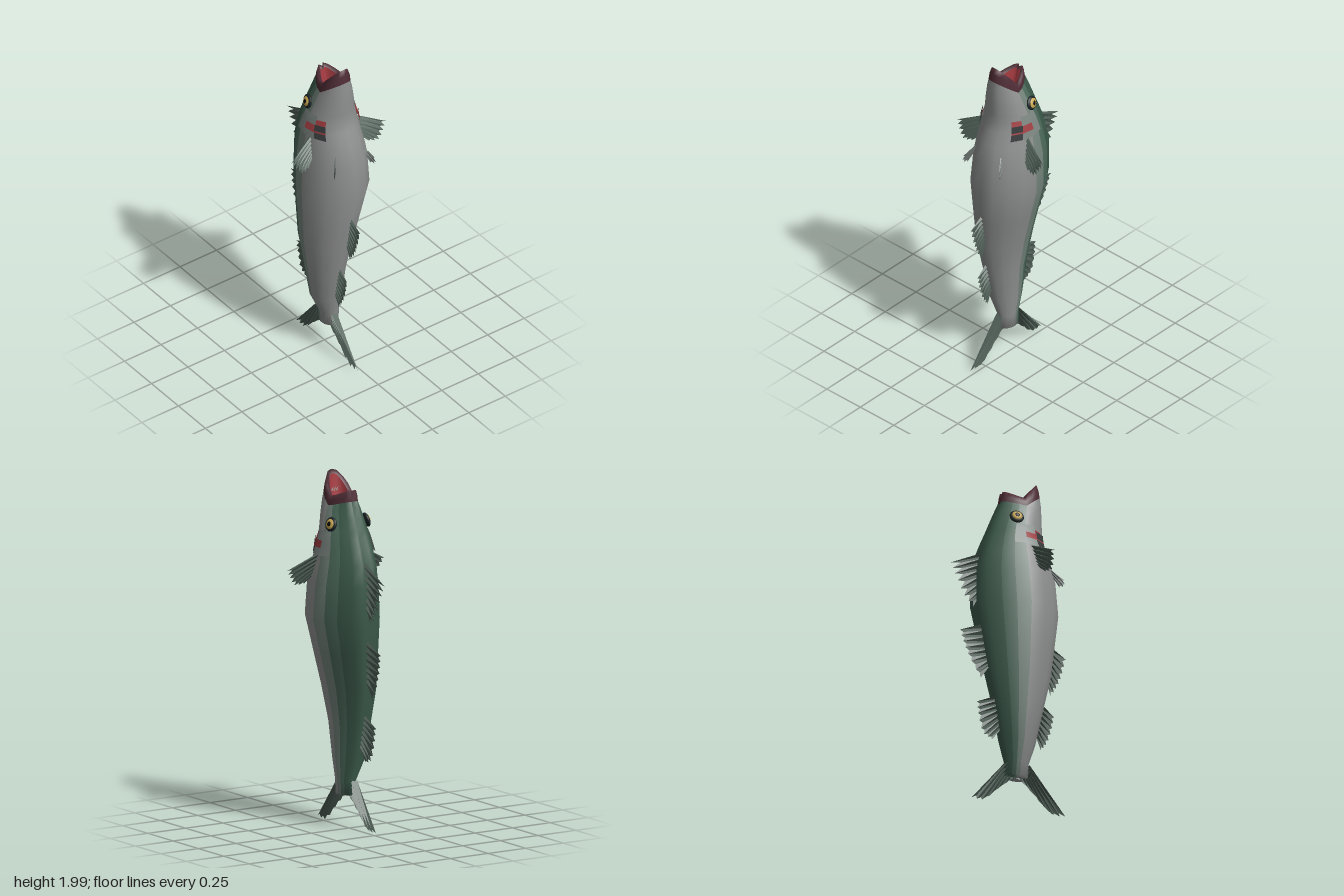
import * as THREE from 'three';

const mat = (color, extra = {}) => new THREE.MeshStandardMaterial({ color, ...extra });
const V = (x, y, z) => new THREE.Vector3(x, y, z);

// Half outline of a cross-section, spine to belly: [share of half width, share of depth]
const HALF = [[0, 0.07], [0.2, 0], [0.46, 0.08], [0.71, 0.22], [0.9, 0.36], [1, 0.52],
  [0.93, 0.7], [0.72, 0.85], [0.38, 0.97], [0, 1]];
const OUTLINE = [...HALF, ...HALF.slice(1, -1).reverse().map(([u, v]) => [-u, v])];
const N = OUTLINE.length;

// Rings, tail to snout: [y, belly z, back z, half width, centre x, tilt of the gape]
const BODY = [
  [0.2, 0.05, 0.04, 0.002, -0.015, 0], [0.2, 0.12, -0.025, 0.05, -0.012, 0],
  [0.28, 0.12, -0.02, 0.056, -0.014, 0], [0.4, 0.15, -0.06, 0.09, -0.032, 0],
  [0.6, 0.19, -0.1, 0.11, -0.04, 0], [0.8, 0.235, -0.145, 0.142, -0.037, 0],
  [1.0, 0.265, -0.175, 0.172, -0.018, 0], [1.2, 0.295, -0.205, 0.2, 0.002, 0],
  [1.4, 0.28, -0.205, 0.187, 0.004, 0], [1.52, 0.25, -0.18, 0.166, 0, 0],
  [1.6, 0.215, -0.15, 0.152, 0, 0], [1.66, 0.2, -0.125, 0.142, 0, 0],
  [1.7, 0.2, -0.108, 0.13, 0, 0.1], [1.75, 0.2, -0.085, 0.117, 0, 0.3],
  [1.8, 0.198, -0.06, 0.1, 0, 0.55], [1.825, 0.193, -0.046, 0.088, 0, 0.75],
];
const LIPS = [BODY.at(-1), [1.85, 0.186, -0.042, 0.085, 0, 0.9], [1.875, 0.175, -0.035, 0.074, 0, 1],
  [1.86, 0.162, -0.018, 0.056, 0, 0.95]];
const MOUTH = [LIPS.at(-1), [1.8, 0.15, -0.005, 0.055, 0, 0.6], [1.7, 0.12, 0.01, 0.045, 0, 0.1],
  [1.62, 0.075, 0.04, 0.015, -0.01, 0], [1.62, 0.058, 0.057, 0.001, -0.01, 0]];

function ringPoint([y, belly, back, w, cx, tilt], [u, v]) {
  const gape = v < 0.5 ? 0.045 * (1 - v / 0.5) : 0.13 * (v - 0.5) / 0.5;
  return V(cx + u * w, y + tilt * gape, back + (belly - back) * v);
}

// Smooth loft, cut lengthwise into coloured bands that share one set of normals
function loft(rings, bands) {
  const pos = [];
  rings.forEach(r => OUTLINE.forEach(o => pos.push(...ringPoint(r, o).toArray())));
  const indexFor = test => {
    const index = [];
    for (let i = 0; i < rings.length - 1; i++) for (let j = 0; j < N; j++) {
      if (!test(Math.min(j, N - 1 - j))) continue;
      const a = i * N + j, b = i * N + (j + 1) % N;
      index.push(a, a + N, b, b, a + N, b + N);
    }
    return index;
  };
  const whole = new THREE.BufferGeometry();
  whole.setAttribute('position', new THREE.Float32BufferAttribute(pos, 3));
  whole.setIndex(indexFor(() => true));
  whole.computeVertexNormals();
  return bands.map(([name, color, from, to]) => {
    const g = whole.clone();
    g.setIndex(indexFor(s => s >= from && s < to));
    const m = new THREE.Mesh(g, mat(color));
    m.name = name;
    return m;
  });
}

// Pleated fin: rays run from a root line to a jagged outer edge
function fin(name, root, edge, rays, normal, pleat, color, notch = 0.14) {
  const rootCurve = new THREE.CatmullRomCurve3(root), edgeCurve = new THREE.CatmullRomCurve3(edge);
  const pos = [], index = [];
  for (let k = 0; k <= rays * 2; k++) {
    const s = k / (rays * 2), odd = k % 2;
    const a = rootCurve.getPoint(s), b = edgeCurve.getPoint(s);
    if (odd) b.lerp(a, notch);
    a.addScaledVector(normal, odd ? pleat : -pleat);
    b.addScaledVector(normal, (odd ? pleat : -pleat) * 0.25);
    pos.push(...a.toArray(), ...b.toArray());
    if (k) index.push(2 * k - 2, 2 * k - 1, 2 * k, 2 * k, 2 * k - 1, 2 * k + 1);
  }
  const g = new THREE.BufferGeometry();
  g.setAttribute('position', new THREE.Float32BufferAttribute(pos, 3));
  g.setIndex(index);
  g.computeVertexNormals();
  const m = new THREE.Mesh(g, mat(color, { side: THREE.DoubleSide, flatShading: true }));
  m.name = name;
  return m;
}

// Patch that follows the head surface, lifted away from it
function headPatch(name, side, y0, y1, from, to, lift0, lift1, color) {
  const pos = [], index = [], rows = 4, cols = to - from;
  for (let i = 0; i <= rows; i++) for (let j = from; j <= to; j++) {
    const y = y0 + (y1 - y0) * i / rows;
    let k = BODY.findIndex(r => r[0] > y);
    const t = (y - BODY[k - 1][0]) / (BODY[k][0] - BODY[k - 1][0]);
    const ring = BODY[k].map((b, n) => BODY[k - 1][n] + (b - BODY[k - 1][n]) * t);
    const p = ringPoint(ring, HALF[j]);
    const lift = lift0 + (lift1 - lift0) * i / rows;
    p.add(V(p.x, 0, p.z - 0.05).normalize().multiplyScalar(lift));
    pos.push(p.x * side, p.y, p.z);
    if (i < rows && j < to) {
      const a = i * (cols + 1) + j - from, up = a + cols + 1;
      index.push(...(side > 0 ? [a, up, a + 1, a + 1, up, up + 1] : [a, a + 1, up, a + 1, up + 1, up]));
    }
  }
  const g = new THREE.BufferGeometry();
  g.setAttribute('position', new THREE.Float32BufferAttribute(pos, 3));
  g.setIndex(index);
  g.computeVertexNormals();
  const m = new THREE.Mesh(g, mat(color, { side: THREE.DoubleSide }));
  m.name = name;
  return m;
}

function eye(side) {
  const g = new THREE.Group();
  g.name = side > 0 ? 'leftEye' : 'rightEye';
  [['eyeSocket', 0.041, 0.016, 0, 0x1c2426], ['iris', 0.031, 0.014, 0.006, 0xc9a850],
    ['pupil', 0.016, 0.008, 0.014, 0x0c0c0c]].forEach(([name, r, depth, out, color]) => {
    const m = new THREE.Mesh(new THREE.SphereGeometry(r, 16, 10), mat(color));
    m.scale.z = depth / r;
    m.position.z = out;
    m.name = name;
    g.add(m);
  });
  g.position.set(side * 0.117, 1.735, 0.003);
  g.lookAt(side * 1.117, 2.03, -0.2);
  return g;
}

export function createModel() {
  const model = new THREE.Group();
  const FIN = 0x4f5f57, X = V(1, 0, 0);

  // Body, lips and mouth
  model.add(...loft(BODY, [['back', 0x3c5a4b, 0, 3], ['upperFlank', 0x4d6b5c, 3, 4],
    ['flank', 0x74857c, 4, 5], ['belly', 0x8f9190, 5, 9]]));
  model.add(...loft(LIPS, [['lips', 0x4e2c35, 0, 9]]));
  model.add(...loft(MOUTH, [['mouthLining', 0xa83c42, 0, 9]]));
  const throat = new THREE.Mesh(new THREE.CylinderGeometry(0.014, 0.014, 0.01, 12), mat(0xd06a68));
  throat.name = 'throat';
  throat.position.set(-0.01, 1.63, 0.057);
  model.add(throat);
  for (let i = 0; i < 4; i++) {
    const tooth = new THREE.Mesh(new THREE.ConeGeometry(0.006, 0.03, 6), mat(0xe6e2d4));
    tooth.name = 'tooth';
    tooth.position.set(-0.034 + i * 0.016, 1.9, 0.143);
    tooth.rotation.x = -0.7;
    model.add(tooth);
  }

  // Fins along the spine and belly: root and edge as [y, z]
  const medianFin = (name, x0, x1, root, edge, rays, pleat = 0.007, notch) => {
    const line = pts => pts.map(([y, z], i) => V(x0 + (x1 - x0) * i / (pts.length - 1), y, z));
    model.add(fin(name, line(root), line(edge), rays, X, pleat, FIN, notch));
  };
  medianFin('frontDorsalFin', 0, 0, [[1.53, -0.15], [1.4, -0.17], [1.26, -0.17]],
    [[1.43, -0.35], [1.36, -0.315], [1.26, -0.27], [1.19, -0.21]], 7, 0.007, 0.3);
  medianFin('middleDorsalFin', -0.01, -0.035, [[1.09, -0.16], [0.95, -0.14], [0.84, -0.12]],
    [[1.03, -0.295], [0.95, -0.275], [0.86, -0.24], [0.75, -0.18]], 7);
  medianFin('rearDorsalFin', -0.04, -0.035, [[0.66, -0.08], [0.56, -0.07], [0.47, -0.05]],
    [[0.6, -0.205], [0.52, -0.195], [0.42, -0.165], [0.39, -0.11]], 7);
  medianFin('frontAnalFin', -0.015, -0.015, [[1.04, 0.25], [0.95, 0.24], [0.85, 0.225]],
    [[0.98, 0.355], [0.88, 0.33], [0.8, 0.3], [0.74, 0.26]], 7);
  medianFin('rearAnalFin', -0.042, -0.04, [[0.66, 0.19], [0.56, 0.17], [0.47, 0.15]],
    [[0.6, 0.27], [0.52, 0.255], [0.43, 0.225], [0.38, 0.19]], 7);
  medianFin('tailFin', -0.02, -0.02, [[0.28, 0.12], [0.25, 0.05], [0.28, -0.02]],
    [[0.02, 0.348], [0.015, 0.27], [0.12, 0.15], [0.19, 0.05], [0.12, -0.05], [0.02, -0.16], [0.02, -0.228]],
    13, 0.02, 0.08);

  // Paired fins, eyes and gills
  for (const s of [1, -1]) {
    const side = s > 0 ? 'left' : 'right';
    const pts = list => list.map(([x, y, z]) => V(x * s, y, z));
    model.add(fin(side + 'PectoralFin', pts([[0.145, 1.57, 0.075], [0.15, 1.5, 0.09], [0.15, 1.45, 0.1]]),
      pts([[0.323, 1.475, 0.13], [0.3, 1.43, 0.14], [0.265, 1.385, 0.147], [0.21, 1.39, 0.135]]),
      6, V(s * 0.35, 0.3, -0.88).normalize(), 0.008, FIN));
    model.add(fin(side + 'PelvicFin', pts([[0.09, 1.47, 0.225], [0.105, 1.41, 0.235]]),
      pts([[0.135, 1.4, 0.285], [0.14, 1.36, 0.285], [0.125, 1.355, 0.26]]),
      3, V(s * 0.75, 0, -0.65), 0.004, 0x6c7471));
    model.add(eye(s));
    model.add(headPatch(side + 'GillCover', s, 1.56, 1.69, 4, 6, 0.014, 0.002, 0x7b8580));
    model.add(headPatch(side + 'Gill', s, 1.6, 1.67, 5, 7, 0.014, 0.001, 0x9c3a3e));
    model.add(headPatch(side + 'GillOpening', s, 1.56, 1.65, 6, 7, 0.008, 0.016, 0x3b3f3f));
  }
  return model;
}
